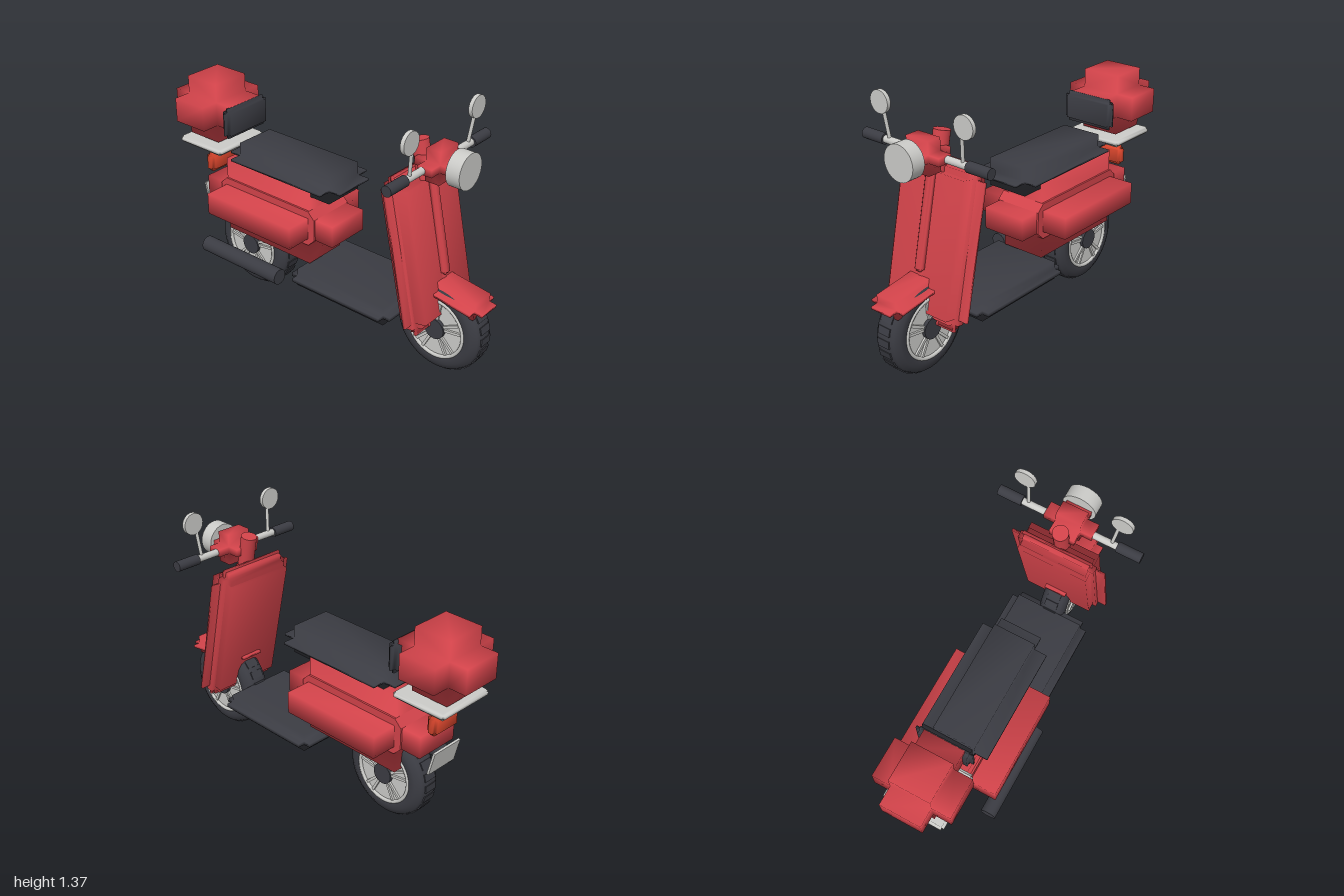
import * as THREE from 'three';
import { mergeVertices } from 'three/addons/utils/BufferGeometryUtils.js';

const paint = (name, color, side = THREE.FrontSide) => {
  const m = new THREE.MeshStandardMaterial({ color, side });
  m.name = name;
  return m;
};

// Block with raised panels on all six sides: edges and corners sink in by r.
function panelBlock(hx, hy, hz, r) {
  const g = new THREE.BoxGeometry(2, 2, 2, 3, 3, 3);
  const p = g.attributes.position, h = [hx, hy, hz], v = new THREE.Vector3();
  for (let i = 0; i < p.count; i++) {
    const c = v.fromBufferAttribute(p, i).toArray();
    const outer = c.filter((a) => Math.abs(a) > 0.9).length;
    const q = c.map((a, k) => Math.sign(a) * (outer === 1 && Math.abs(a) > 0.9 ? h[k] : h[k] - r));
    p.setXYZ(i, ...q);
  }
  g.deleteAttribute('normal');
  g.deleteAttribute('uv');
  const merged = mergeVertices(g, 1e-4);
  merged.computeVertexNormals();
  return merged;
}

export function createModel() {
  const root = new THREE.Group();
  root.name = 'scooter';
  const red = paint('red paint', 0xd2434a);
  const dark = paint('dark rubber', 0x3b3c43, THREE.DoubleSide);
  const grey = paint('light grey metal', 0xcbcbc8);
  const orange = paint('tail light lens', 0xd8452c);

  const add = (name, geo, mat, pos = [0, 0, 0], rotX = 0, parent = root) => {
    const m = new THREE.Mesh(geo, mat);
    m.name = name;
    m.position.set(...pos);
    m.rotation.x = rotX;
    parent.add(m);
    return m;
  };
  // Round bar between two points
  const rod = (name, a, b, r, mat, sides = 20, parent = root) => {
    const A = new THREE.Vector3(...a), B = new THREE.Vector3(...b), d = B.clone().sub(A);
    const m = add(name, new THREE.CylinderGeometry(r, r, d.length(), sides), mat,
      A.add(B).multiplyScalar(0.5).toArray(), 0, parent);
    m.quaternion.setFromUnitVectors(new THREE.Vector3(0, 1, 0), d.normalize());
    return m;
  };

  // Wheels: lathed tyre, tread blocks, rim disc, paired spokes, hub
  function wheel(name, z) {
    const w = new THREE.Group();
    w.name = name;
    w.position.set(0, 0.25, z);
    const profile = [[0.155, -0.06], [0.17, -0.075], [0.205, -0.072], [0.235, -0.055], [0.246, -0.03],
      [0.246, 0.03], [0.235, 0.055], [0.205, 0.072], [0.17, 0.075], [0.155, 0.06]];
    const tyre = new THREE.LatheGeometry(profile.map((q) => new THREE.Vector2(...q)), 48);
    add('tyre', tyre.rotateZ(Math.PI / 2), dark, [0, 0, 0], 0, w);
    for (let i = 0; i < 24; i++) {
      const a = (i / 24) * Math.PI * 2;
      add('treadBlock', new THREE.BoxGeometry(0.074, 0.012, 0.04), dark,
        [0, Math.cos(a) * 0.243, Math.sin(a) * 0.243], a, w);
    }
    rod('rimDisc', [-0.066, 0, 0], [0.066, 0, 0], 0.166, grey, 40, w);
    for (const s of [-1, 1]) {
      const lip = new THREE.TorusGeometry(0.16, 0.01, 8, 40).rotateY(Math.PI / 2);
      add('rimLip', lip, grey, [s * 0.07, 0, 0], 0, w);
      for (let i = 0; i < 5; i++) {
        for (const k of [-1, 1]) {
          const a = (i / 5) * Math.PI * 2 + k * 0.16;
          add('spoke', new THREE.BoxGeometry(0.02, 0.1, 0.014), grey,
            [s * 0.067, Math.cos(a) * 0.1, Math.sin(a) * 0.1], a, w);
        }
      }
    }
    rod('hub', [-0.085, 0, 0], [0.085, 0, 0], 0.056, dark, 24, w);
    root.add(w);
  }
  wheel('frontWheel', 0.75);
  wheel('rearWheel', -0.5);

  // Rear body, with a chamfered core filling the inner corners
  add('rearBody', panelBlock(0.28, 0.215, 0.45, 0.155), red, [0, 0.55, -0.32]);
  const a = 0.295, b = 0.06, c = 0.04;
  const core = new THREE.Shape([[a + c, b], [a, b + c], [-a, b + c], [-a - c, b],
    [-a - c, -b], [-a, -b - c], [a, -b - c], [a + c, -b]].map((q) => new THREE.Vector2(...q)).reverse());
  const coreGeo = new THREE.ExtrudeGeometry(core, { depth: 0.27, bevelEnabled: false });
  add('bodyCore', coreGeo.translate(0, 0, -0.135).rotateY(Math.PI / 2), red, [0, 0.55, -0.32]);
  add('seat', panelBlock(0.185, 0.076, 0.38, 0.07), dark, [0, 0.805, -0.21]);
  add('floorboard', panelBlock(0.235, 0.05, 0.325, 0.04), dark, [0, 0.275, 0.235]);
  rod('muffler', [-0.257, 0.275, -0.66], [-0.257, 0.275, -0.12], 0.043, dark, 24);

  // Luggage case, rack and tail
  add('topCase', panelBlock(0.21, 0.167, 0.205, 0.1), red, [0, 0.996, -0.795]);
  add('backrest', panelBlock(0.155, 0.085, 0.028, 0.022), dark, [0, 0.975, -0.59]);
  add('rack', panelBlock(0.17, 0.019, 0.155, 0.012), grey, [0, 0.802, -0.775]);
  add('tailLight', panelBlock(0.09, 0.055, 0.03, 0.018), orange, [0, 0.665, -0.795]);
  add('rearPlate', new THREE.BoxGeometry(0.19, 0.135, 0.012), grey, [0, 0.467, -0.815], -0.24);

  // Leg shield, tilted back with the steering column
  const front = new THREE.Group();
  front.name = 'legShield';
  front.position.set(0, 0.66, 0.63);
  front.rotation.x = -0.21;
  root.add(front);
  add('shieldPanel', panelBlock(0.265, 0.415, 0.077, 0.07), red, [0, 0, 0], 0, front);
  add('innerPanel', panelBlock(0.215, 0.405, 0.05, 0.03), red, [0, 0, -0.01], 0, front);
  add('centreTrim', panelBlock(0.025, 0.25, 0.02, 0.012), red, [0, 0.1, 0.085], 0, front);
  rod('steeringColumn', [0, 1.2, 0.56], [0, 0.42, 0.72], 0.042, red, 24);
  for (const s of [-1, 1]) rod('forkLeg', [s * 0.082, 0.46, 0.68], [s * 0.082, 0.26, 0.72], 0.012, red);

  // Front mudguard
  add('frontFender', panelBlock(0.105, 0.05, 0.22, 0.055 - 0.012), red, [0, 0.452, 0.785], 0.14);

  // Handlebar, headlight, grips and mirrors
  add('handlebarHead', panelBlock(0.135, 0.085, 0.105, 0.065), red, [0, 1.115, 0.685]);
  rod('headlight', [0, 1.115, 0.77], [0, 1.115, 0.845], 0.092, grey, 40);
  rod('handlebar', [-0.28, 1.115, 0.67], [0.28, 1.115, 0.67], 0.019, grey);
  for (const s of [-1, 1]) {
    rod('grip', [s * 0.265, 1.115, 0.67], [s * 0.4, 1.115, 0.67], 0.028, dark);
    rod('mirrorStem', [s * 0.233, 1.12, 0.672], [s * 0.247, 1.27, 0.69], 0.009, grey, 12);
    rod('mirror', [s * 0.265, 1.308, 0.68], [s * 0.265, 1.308, 0.701], 0.058, grey, 32);
  }
  return root;
}
